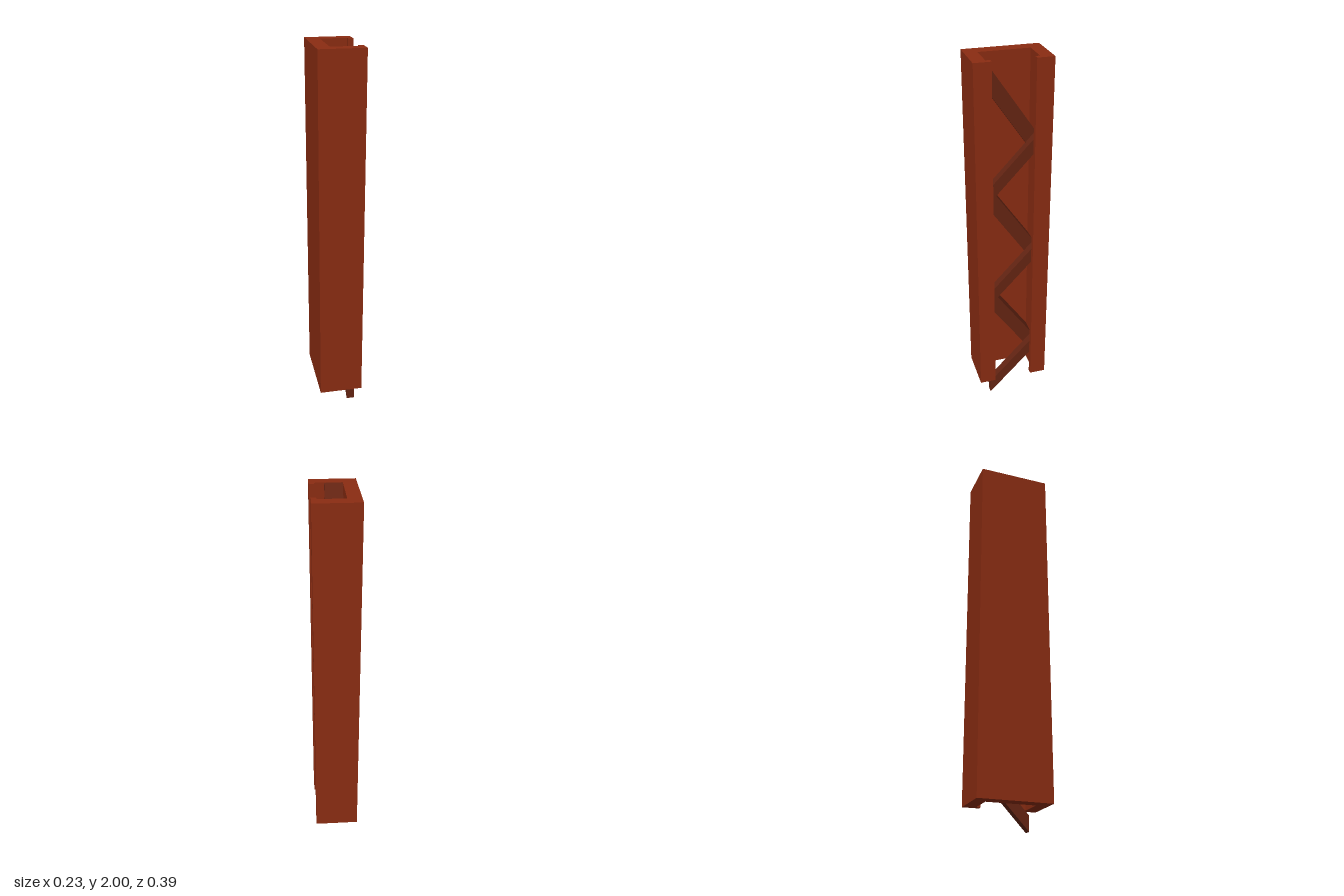
import * as THREE from 'three';

const shapeOf = (pts) => new THREE.Shape(pts.map(([x, y]) => new THREE.Vector2(x, y)));

export function createModel() {
  const model = new THREE.Group();
  const rust = new THREE.MeshStandardMaterial({ color: 0x8a2c12 });
  const darkRust = new THREE.MeshStandardMaterial({ color: 0x642412 });

  // Lipped channel, open towards +x, extruded upwards
  const half = [[-0.117, 0.195], [0.117, 0.195], [0.117, 0.107], [0.09, 0.107], [0.09, 0.13], [-0.048, 0.13]];
  const mirrored = half.map(([x, z]) => [x, -z]).reverse();
  const channelGeo = new THREE.ExtrudeGeometry(shapeOf([...half, ...mirrored]), { depth: 1.89, bevelEnabled: false });
  channelGeo.rotateX(-Math.PI / 2);
  const channel = new THREE.Mesh(channelGeo, rust);
  channel.name = 'channelColumn';
  channel.position.y = 0.11;
  model.add(channel);

  // Slanted brace with upright ends; front and back are the heights of its lower edge
  const W = 0.13;
  function addBrace(name, front, back, thick, xMin, xMax, lift) {
    const profile = shapeOf([[-W, back], [W, front], [W, front + thick], [-W, back + thick]]);
    const geo = new THREE.ExtrudeGeometry(profile, { depth: xMax - xMin, bevelEnabled: false });
    geo.rotateY(-Math.PI / 2);
    const brace = new THREE.Mesh(geo, darkRust);
    brace.name = name;
    brace.position.set(xMax, lift, 0);
    model.add(brace);
  }

  // Zigzag lacing: thin outer braces and broad inner braces, repeated up the column
  for (let i = 0; i < 3; i++) {
    const lift = i * 0.63;
    addBrace('outerBrace' + (i + 1), 0, 0.275, 0.08, 0.046, 0.089, lift);
    addBrace('innerBrace' + (i + 1), 0.609, 0.23, 0.13, -0.048, 0.041, lift);
  }
  return model;
}
